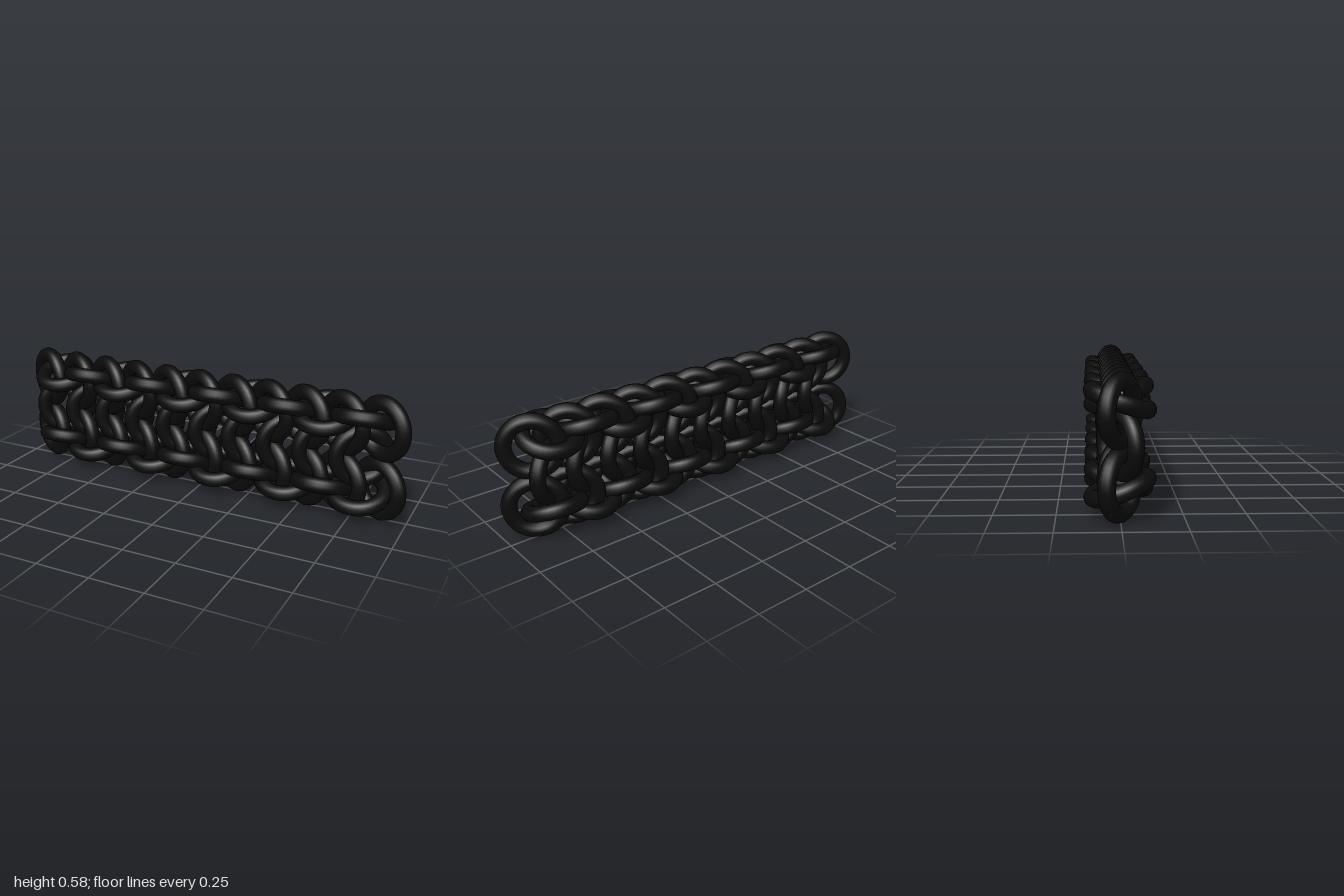
import * as THREE from 'three';

const PITCH = 0.1732;    // spacing of rings along the band
const MID = 0.288;       // mid-height of the band
const ROW = 0.139;       // upright ring rows, above and below mid-height
const EDGE = 0.171;      // edge chains, above and below mid-height
const LEAN = THREE.MathUtils.degToRad(29.3);
const ROCK = THREE.MathUtils.degToRad(19.5);

export function createModel() {
  const band = new THREE.Group();
  band.name = 'wovenRingBand';

  const material = new THREE.MeshStandardMaterial({ color: 0x0b0b0b });
  const upright = new THREE.TorusGeometry(0.114, 0.035, 12, 40);
  const flat = upright.clone().rotateX(Math.PI / 2);

  function addRing(name, geometry, x, y, rx, ry) {
    const ring = new THREE.Mesh(geometry, material);
    ring.name = name;
    ring.position.set(x, y, 0);
    ring.rotation.set(rx, ry, 0);
    band.add(ring);
  }

  // Two rows of upright rings, all leaning the same way
  for (let i = 0; i < 11; i++) {
    const x = (i - 5) * PITCH;
    addRing('upperRing', upright, x, MID + ROW, 0, -LEAN);
    addRing('lowerRing', upright, x, MID - ROW, 0, -LEAN);
  }

  for (let i = 0; i < 10; i++) {
    const x = (i - 4.5) * PITCH;
    // Middle rings lean the other way and join the two rows
    addRing('middleRing', upright, x, MID, 0, LEAN);

    // Lying rings along both edges rock alternately to interlock
    const rock = i % 2 ? -ROCK : ROCK;
    addRing('topEdgeRing', flat, x, MID + EDGE, rock, 0);
    addRing('bottomEdgeRing', flat, x, MID - EDGE, -rock, 0);
  }

  return band;
}
